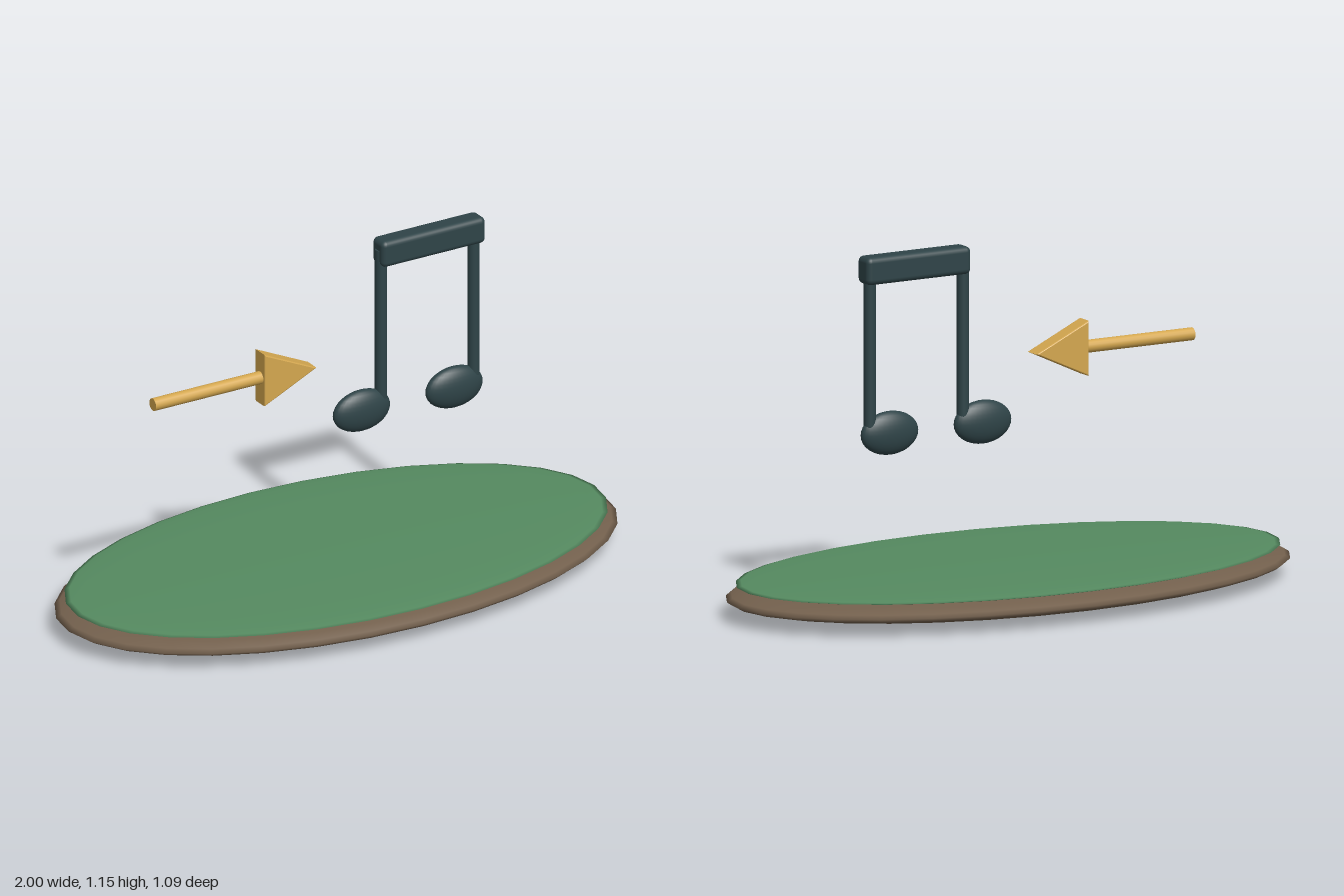
import * as THREE from 'three';
import { RoundedBoxGeometry } from 'three/addons/geometries/RoundedBoxGeometry.js';

const mat = (color) => new THREE.MeshStandardMaterial({ color });

export function createModel() {
  const group = new THREE.Group();
  const brown = mat(0x73604d), green = mat(0x558a60), dark = mat(0x2f4448), gold = mat(0xd4a74f);

  const add = (name, geometry, material, x, y, z = 0) => {
    const mesh = new THREE.Mesh(geometry, material);
    mesh.name = name;
    mesh.position.set(x, y, z);
    group.add(mesh);
    return mesh;
  };
  const ellipsoid = (rx, ry, rz) => new THREE.SphereGeometry(1, 32, 16).scale(rx, ry, rz);

  // Flat oval island: earth below, grass on top
  add('earthBase', ellipsoid(1, 0.06, 0.545), brown, 0, 0.06);
  add('grassTop', ellipsoid(0.965, 0.018, 0.525), green, 0, 0.105);

  // Pair of joined notes
  for (const [side, x] of [['right', 0.095], ['left', 0.441]]) {
    add(side + 'NoteHead', ellipsoid(0.105, 0.071, 0.036), dark, x, 0.574);
    add(side + 'NoteStem', new THREE.CylinderGeometry(0.02, 0.02, 0.545, 16), dark, x + 0.073, 0.847);
  }
  add('noteBeam', new RoundedBoxGeometry(0.387, 0.09, 0.072, 3, 0.018), dark, 0.348, 1.11);

  // Arrow pointing along +x
  const shaft = new THREE.CylinderGeometry(0.021, 0.021, 0.415, 16).rotateZ(Math.PI / 2);
  add('arrowShaft', shaft, gold, -0.4775, 0.778);

  const tri = new THREE.Shape();
  tri.moveTo(-0.284, -0.09);
  tri.lineTo(-0.09, 0);
  tri.lineTo(-0.284, 0.09);
  tri.closePath();
  const bevel = 0.005;
  const head = new THREE.ExtrudeGeometry(tri, {
    depth: 0.06 - 2 * bevel, bevelEnabled: true, bevelSize: bevel,
    bevelThickness: bevel, bevelOffset: -bevel, bevelSegments: 2,
  });
  add('arrowHead', head, gold, 0, 0.777, -0.03 + bevel);

  return group;
}
